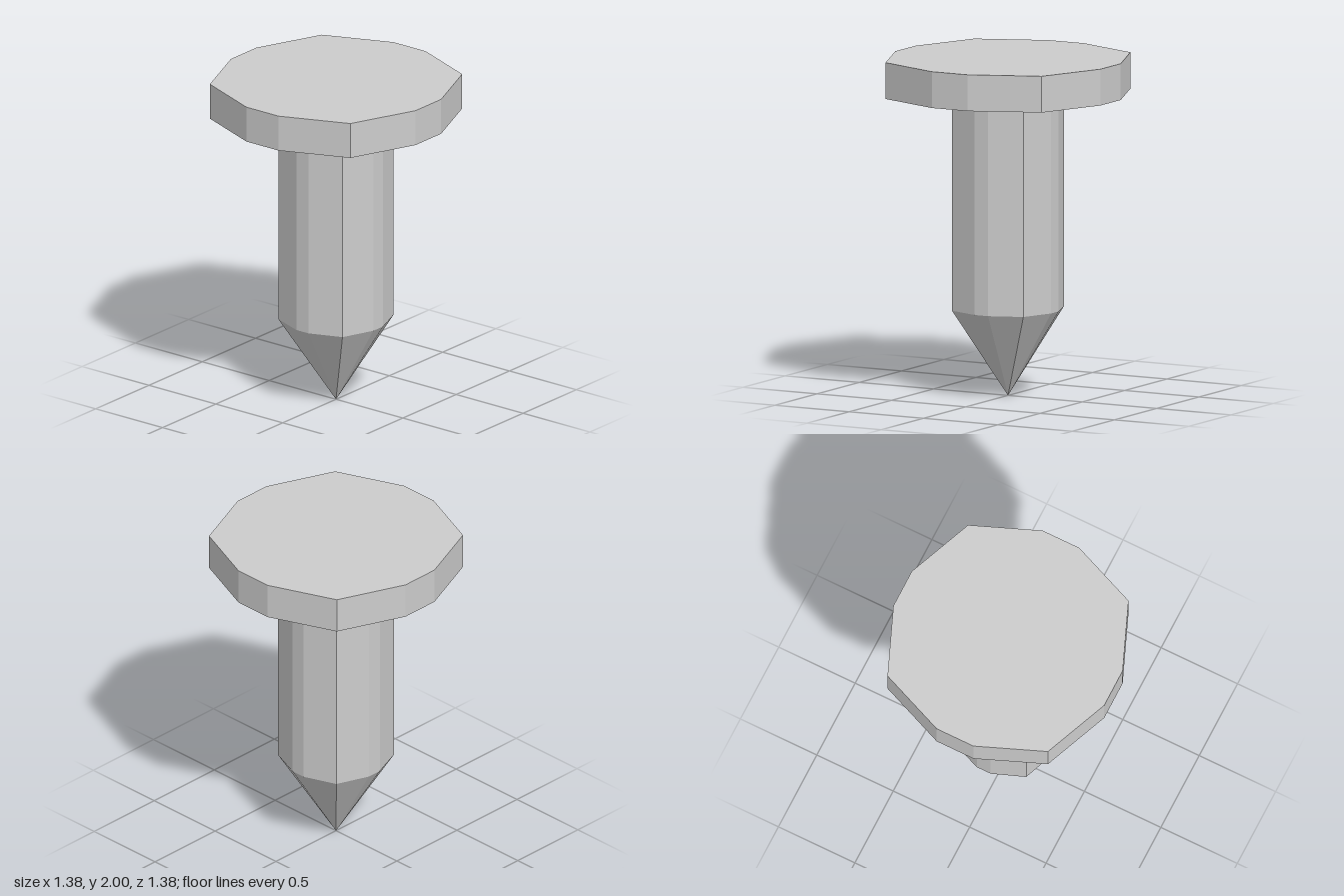
import * as THREE from 'three';

const steel = new THREE.MeshStandardMaterial({ color: 0xcccccc, flatShading: true });
steel.name = 'light grey steel';

// Twelve-sided section whose corners sit at (narrow, wide), (diagonal, diagonal), (wide, narrow)
function section(name, bottom, top, [narrow, diagonal, wide], pointed = false, open = false) {
  const base = new THREE.CylinderGeometry(1, pointed ? 0 : 1, top - bottom, 12, 1, open, Math.PI / 12);
  const geometry = base.toNonIndexed();
  const p = geometry.attributes.position;
  const reshape = (c) => {
    const a = Math.abs(c);
    const size = a < 0.01 ? 0 : a < 0.5 ? narrow : a < 0.85 ? diagonal : wide;
    return Math.sign(c) * size;
  };
  for (let i = 0; i < p.count; i++) {
    p.setXYZ(i, reshape(p.getX(i)), p.getY(i), reshape(p.getZ(i)));
  }
  geometry.translate(0, (top + bottom) / 2, 0);
  geometry.computeVertexNormals();
  const mesh = new THREE.Mesh(geometry, steel);
  mesh.name = name;
  return mesh;
}

export function createModel() {
  const group = new THREE.Group();
  group.name = 'nail';
  const shaftOutline = [0.045, 0.24, 0.315];

  // Broad flat head, straight shaft and pointed tip
  group.add(section('head', 1.785, 2, [0.12, 0.525, 0.69]));
  group.add(section('shaft', 0.515, 1.785, shaftOutline, false, true));
  group.add(section('tip', 0, 0.515, shaftOutline, true, true));
  return group;
}
